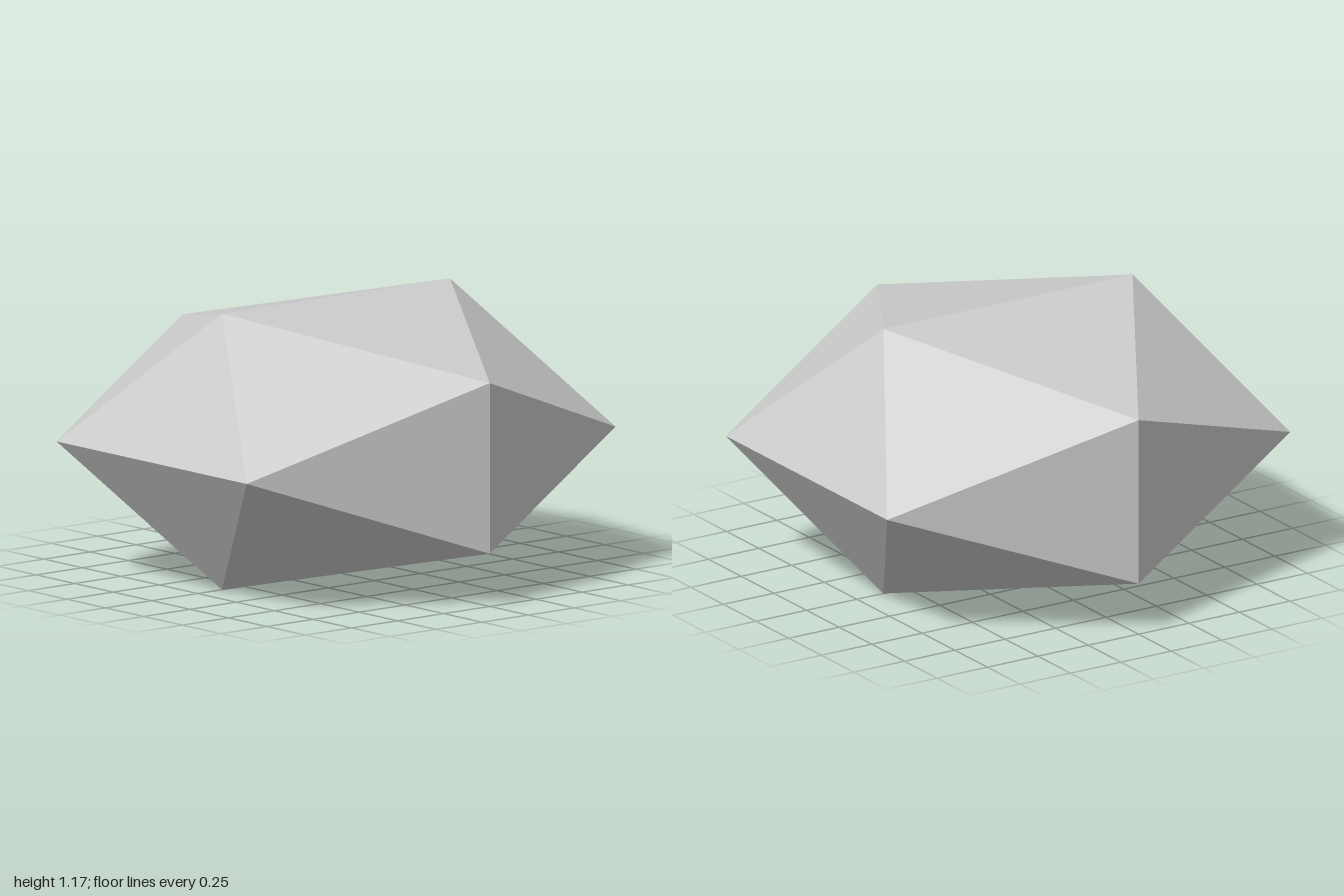
import * as THREE from 'three';

const HALF_WIDTH = 1;
const HALF_HEIGHT = 0.585;

export function createModel() {
  const group = new THREE.Group();
  group.name = 'flattenedIcosahedron';

  const stone = new THREE.MeshStandardMaterial({ color: 0xcccccc, flatShading: true });
  stone.name = 'light grey';

  // Circumradius that puts the outermost corners at the half width
  const phi = (1 + Math.sqrt(5)) / 2;
  const radius = HALF_WIDTH * Math.sqrt(1 + phi * phi) / phi;

  // Twenty-sided stone, its top ridge along z, squashed and set on the ground
  const geometry = new THREE.IcosahedronGeometry(radius, 0);
  geometry.rotateY(Math.PI / 2);
  geometry.scale(1, HALF_HEIGHT / HALF_WIDTH, 1);
  geometry.translate(0, HALF_HEIGHT, 0);

  const body = new THREE.Mesh(geometry, stone);
  body.name = 'stone';
  group.add(body);
  return group;
}
